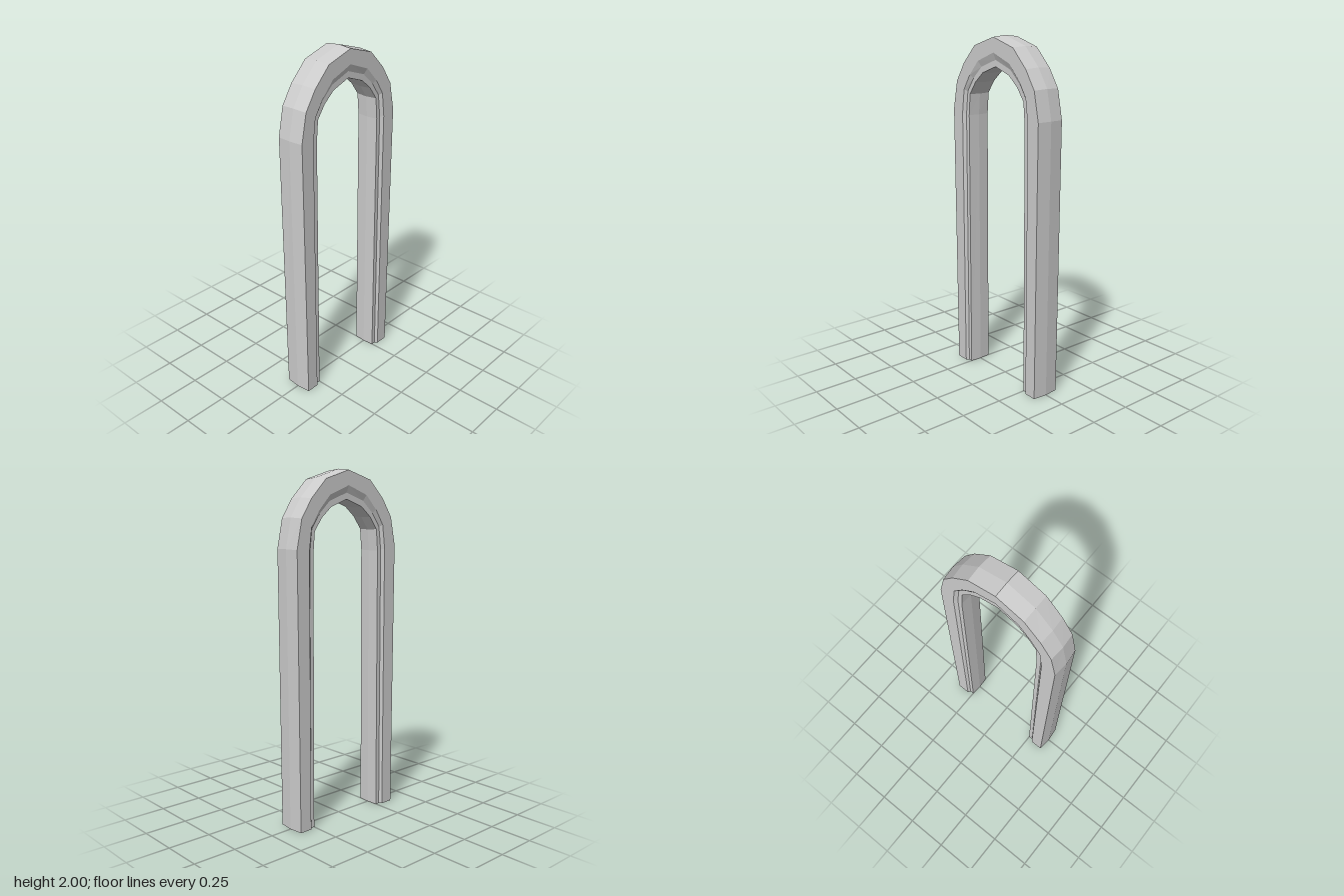
import * as THREE from 'three';

// Half of the arch, foot to crown: outer ridge x,y, inner ridge x,y,
// then where the step starts and ends across the width (0 outer, 1 inner)
const HALF = [
  [0.368, 0, 0.244, 0, 0.67, 0.76],
  [0.376, 1.575, 0.238, 1.545, 0.66, 0.78],
  [0.341, 1.74, 0.228, 1.665, 0.65, 0.78],
  [0.272, 1.845, 0.177, 1.735, 0.62, 0.78],
  [0.167, 1.95, 0.112, 1.79, 0.57, 0.77],
  [0, 2, 0, 1.83, 0.53, 0.76],
];
const FRONT = 0.083; // half depth of the outer band
const LEDGE = 0.067; // half depth of the recessed inner band

// Ten-sided section: ridged outer face, front step, ridged inner face, back step
function section([ox, oy, ix, iy, t1, t2]) {
  const outer = new THREE.Vector3(ox, oy, 0);
  const inner = new THREE.Vector3(ix, iy, 0);
  const width = outer.distanceTo(inner);
  const at = (t, z) => outer.clone().lerp(inner, t).setZ(z);
  const o = 0.008 / width, i = 1 - 0.005 / width;
  const side = [[o, FRONT], [t1, FRONT], [t2, LEDGE], [i, LEDGE]];
  return [
    at(0, 0), ...side.map(([t, z]) => at(t, z)),
    at(1, 0), ...side.reverse().map(([t, z]) => at(t, -z)),
  ];
}

function archGeometry() {
  const mirrored = HALF.slice(0, -1).reverse()
    .map(([ox, oy, ix, iy, a, b]) => [-ox, oy, -ix, iy, a, b]);
  const rings = [...HALF, ...mirrored].map(section);
  const n = rings[0].length;
  const points = [];

  // Walls between neighbouring sections
  for (let s = 0; s < rings.length - 1; s++) {
    for (let j = 0; j < n; j++) {
      const k = (j + 1) % n;
      const [a, b, c, d] = [rings[s][j], rings[s][k], rings[s + 1][j], rings[s + 1][k]];
      points.push(a, c, b, b, c, d);
    }
  }

  // Flat soles under both feet
  const cap = (ring, flip) => {
    const centre = ring[0].clone().lerp(ring[5], 0.5);
    for (let j = 0; j < n; j++) {
      const k = (j + 1) % n;
      points.push(centre, ring[flip ? k : j], ring[flip ? j : k]);
    }
  };
  cap(rings[0], false);
  cap(rings[rings.length - 1], true);

  const geometry = new THREE.BufferGeometry().setFromPoints(points);
  geometry.computeVertexNormals();
  return geometry;
}

export function createModel() {
  const group = new THREE.Group();
  group.name = 'archway';
  const material = new THREE.MeshStandardMaterial({ color: 0xcccccc, flatShading: true });
  const arch = new THREE.Mesh(archGeometry(), material);
  arch.name = 'archFrame';
  group.add(arch);
  return group;
}
